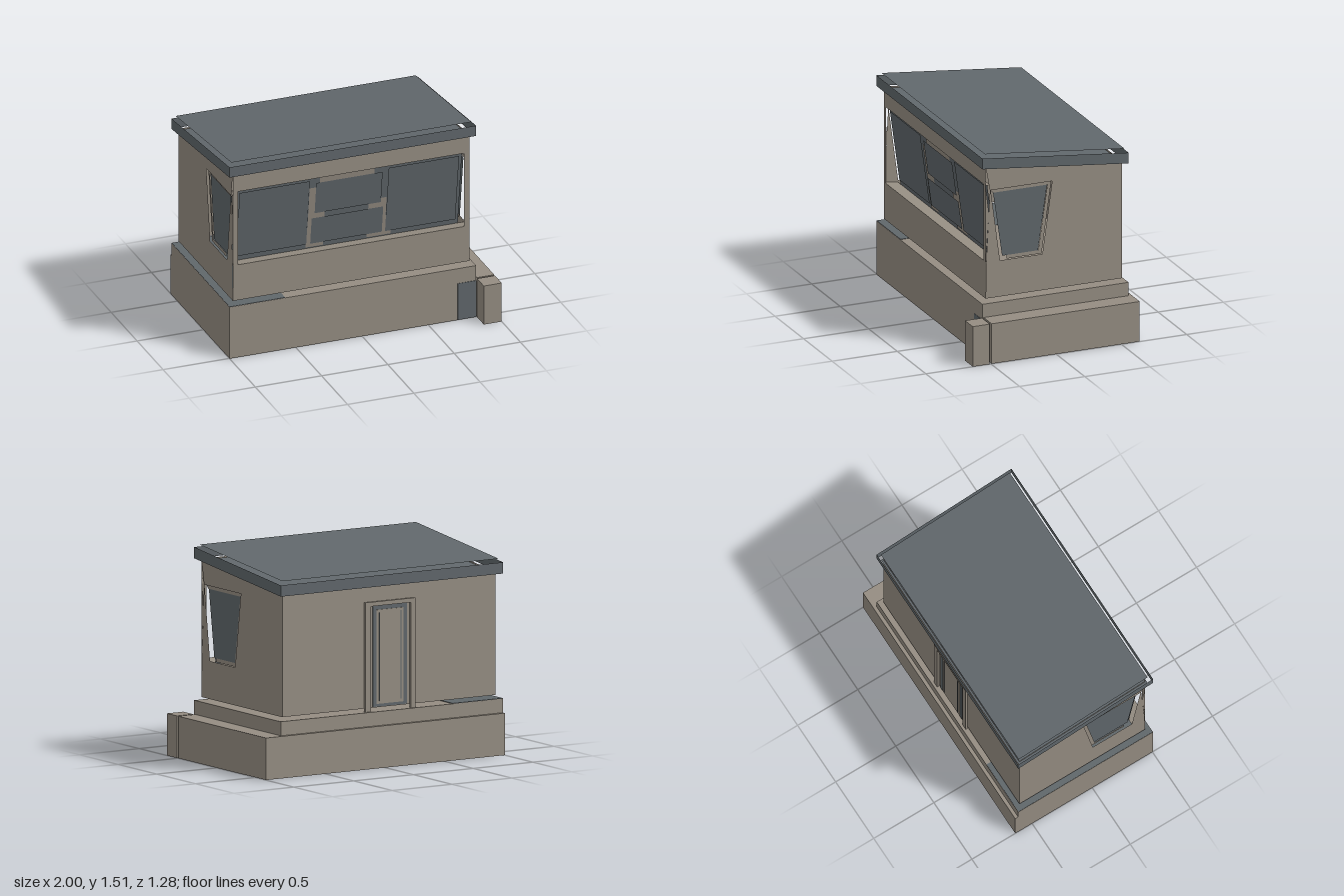
import * as THREE from 'three';

const tan = new THREE.MeshStandardMaterial({ color: 0x958d82, side: THREE.DoubleSide });
tan.name = 'warm concrete';
const slate = new THREE.MeshStandardMaterial({ color: 0x60676b, side: THREE.DoubleSide });
slate.name = 'slate grey';

export function createModel() {
  const group = new THREE.Group();
  const add = (name, geo, mat) => {
    const m = new THREE.Mesh(geo, mat);
    m.name = name;
    group.add(m);
    return m;
  };
  // box given by its limits
  const box = (name, mat, x0, x1, y0, y1, z0, z1) => {
    const g = new THREE.BoxGeometry(x1 - x0, y1 - y0, z1 - z0);
    g.translate((x0 + x1) / 2, (y0 + y1) / 2, (z0 + z1) / 2);
    return add(name, g, mat);
  };
  // flat four-cornered sheet, corners counter-clockwise
  const quad = (name, mat, a, b, c, d) => {
    const g = new THREE.BufferGeometry();
    g.setAttribute('position', new THREE.Float32BufferAttribute([...a, ...b, ...c, ...d], 3));
    g.setIndex([0, 1, 2, 0, 2, 3]);
    g.computeVertexNormals();
    return add(name, g, mat);
  };
  // upright sheet facing the side, outlined by [z, y] points
  const sideSheet = (name, mat, x, points, hole) => {
    const toV = (p) => new THREE.Vector2(p[0], p[1]);
    const shape = new THREE.Shape(points.map(toV));
    if (hole) shape.holes.push(new THREE.Path(hole.map(toV)));
    const g = new THREE.ShapeGeometry(shape);
    g.rotateY(-Math.PI / 2);
    g.translate(x, 0, 0);
    return add(name, g, mat);
  };

  // stepped base
  box('base', tan, -1, 0.86, 0, 0.4, -0.615, 0.505);
  box('baseLedge', tan, -0.999, 1, 0.001, 0.3, -0.64, 0.495);
  box('cornerBlock', tan, 0.865, 1, 0, 0.3, 0.51, 0.64);
  box('basePatchTop', slate, -0.999, -0.58, 0.4, 0.403, -0.613, 0.503);
  box('basePatchFront', slate, 0.72, 0.86, 0.002, 0.285, 0.505, 0.508);

  const L = -0.96, R = 0.825, F = 0.465, B = -0.58;

  // side walls with slanted windows
  const wall = [[F, 0.425], [B, 0.425], [B, 1.3], [F, 1.412], [0.432, 1.23], [0.46, 0.7]];
  const opening = [[0.426, 1.23], [-0.045, 1.23], [0.03, 0.695], [0.355, 0.695]];
  const surround = [[0.426, 1.23], [-0.045, 1.23], [0.03, 0.695], [0.3, 0.695],
    [0.3, 0.722], [0.055, 0.722], [-0.015, 1.203], [0.4, 1.203]];
  const pane = [[0.4, 1.205], [-0.015, 1.205], [0.055, 0.72], [0.33, 0.72]];
  const post = [[F, 1.26], [F, 0.69], [0.44, 1.06]];
  for (const [x, s] of [[L, 1], [R, -1]]) {
    sideSheet('sideWall', tan, x, wall, opening);
    sideSheet('sideWindowSurround', tan, x + s * 0.015, surround);
    sideSheet('sideWindowPane', slate, x + s * 0.02, pane);
    sideSheet('cornerPostSide', tan, x, post);
    const x0 = Math.min(x, x + s * 0.04), x1 = Math.max(x, x + s * 0.04);
    quad('cornerPost', tan, [x0, 0.69, F], [x1, 0.69, F], [x1, 1.27, F], [x0, 1.27, F]);
  }

  // front and back walls
  quad('frontWall', tan, [L, 0.425, F], [R, 0.425, F], [R, 0.7, F], [L, 0.7, F]);
  quad('frontHeader', tan, [L, 1.27, F], [R, 1.27, F], [R, 1.41, F], [L, 1.41, F]);
  quad('frontSill', tan, [L, 0.7, F], [R, 0.7, F], [R, 0.68, 0.355], [L, 0.68, 0.355]);
  quad('frontSoffit', tan, [L, 1.27, 0.43], [R, 1.27, 0.43], [R, 1.27, F], [L, 1.27, F]);
  quad('backWall', tan, [R, 0.425, B], [L, 0.425, B], [L, 1.3, B], [R, 1.3, B]);

  // slanted front glazing: depth follows height
  const slope = (y, out) => 0.355 + (y - 0.69) * 0.139 + out;
  const glazing = (name, mat, x0, x1, y0, y1, out) => quad(name, mat,
    [x0, y0, slope(y0, out)], [x1, y0, slope(y0, out)],
    [x1, y1, slope(y1, out)], [x0, y1, slope(y1, out)]);
  glazing('frontWindowFrame', slate, -0.92, 0.78, 0.67, 1.27, 0);
  for (const [x0, x1, y0, y1] of [[-0.365, -0.3, 0.85, 1.18], [-0.37, -0.24, 0.69, 0.85],
    [-0.3, -0.24, 0.85, 1.0], [0.09, 0.2, 0.85, 1.0], [0.09, 0.27, 0.69, 0.85],
    [0.18, 0.225, 0.85, 1.0], [-0.29, 0.12, 1.2, 1.27]]) {
    glazing('mullion', tan, x0, x1, y0, y1, 0.004);
  }
  for (const [x0, x1, y0, y1] of [[-0.9, -0.37, 0.72, 1.245], [0.225, 0.755, 0.72, 1.245],
    [-0.32, 0.18, 0.97, 1.22], [-0.34, 0.2, 0.72, 0.93]]) {
    glazing('frontWindowPane', slate, x0, x1, y0, y1, 0.012);
  }

  // back door with its frame
  box('doorPost', tan, -0.28, -0.24, 0.4, 1.18, -0.596, B);
  box('doorPost', tan, 0.095, 0.14, 0.4, 1.18, -0.596, B);
  box('doorLintel', tan, -0.24, 0.095, 1.15, 1.18, -0.596, B);
  box('doorRecess', slate, -0.215, 0.07, 0.43, 1.15, -0.584, B);
  box('doorLeaf', tan, -0.185, 0.04, 0.45, 1.12, -0.588, B);
  for (const x of [-0.165, 0.012]) box('doorTrim', slate, x, x + 0.008, 0.47, 1.1, -0.59, B);

  // sloping roof: fascia boards, floating sheet above and soffit below
  const roofY = (z) => 1.49 - (0.505 - z) * 0.107;
  const ring = [[-1, 0.505], [0.86, 0.505], [0.86, -0.615], [-1, -0.615]];
  ring.forEach(([x0, z0], i) => {
    const [x1, z1] = ring[(i + 1) % 4];
    quad('fascia', slate, [x0, roofY(z0) - 0.08, z0], [x1, roofY(z1) - 0.08, z1],
      [x1, roofY(z1), z1], [x0, roofY(z0), z0]);
  });
  const sheet = (name, dy) => {
    const f = 0.475, b = -0.595;
    return quad(name, slate, [-0.975, roofY(f) + dy, f], [0.835, roofY(f) + dy, f],
      [0.835, roofY(b) + dy, b], [-0.975, roofY(b) + dy, b]);
  };
  sheet('roofSheet', 0.023);
  sheet('roofSoffit', -0.085);

  return group;
}
